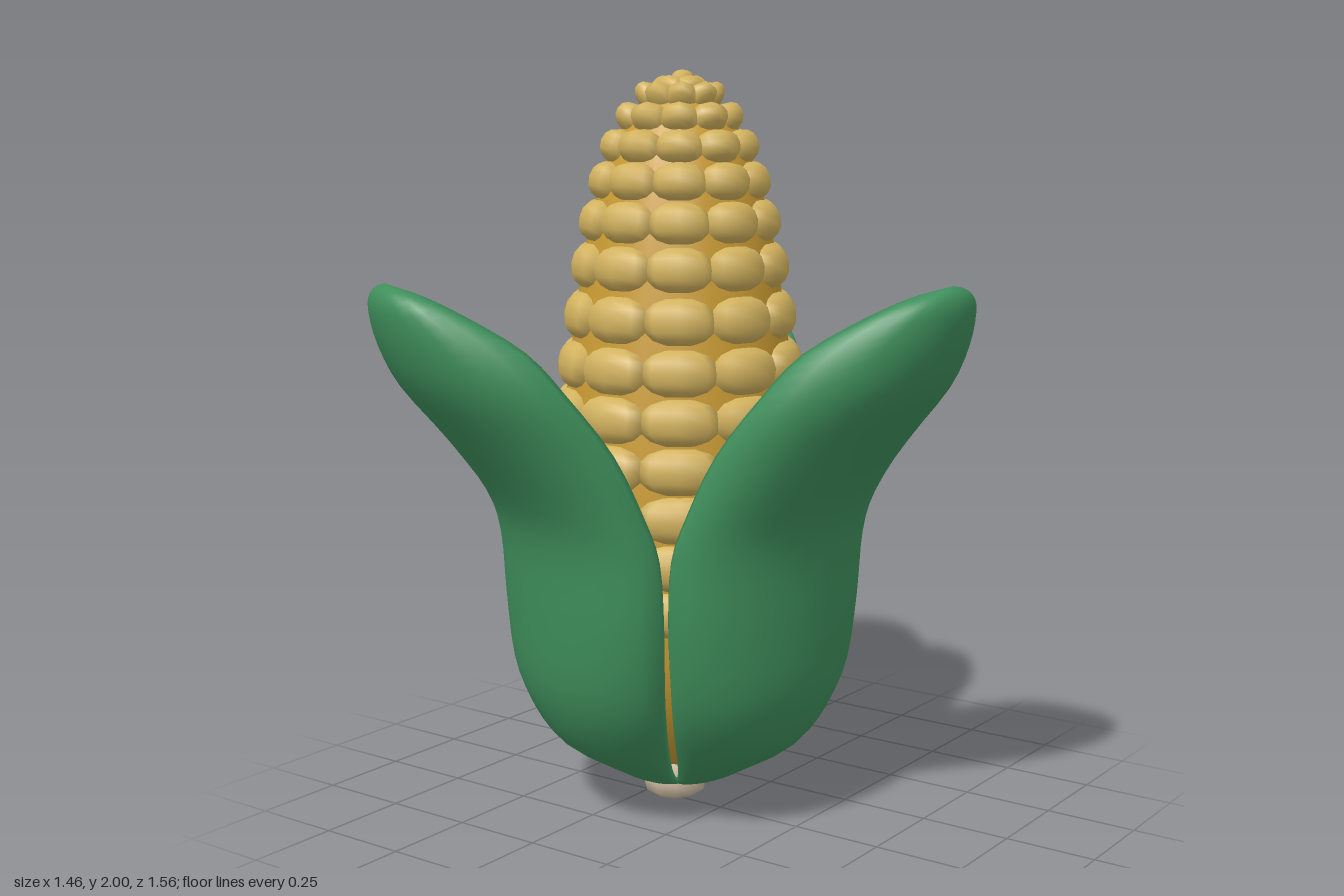
import * as THREE from 'three';
import { mergeGeometries } from 'three/addons/utils/BufferGeometryUtils.js';

const CX = -0.145, CZ = -0.018;

const mat = (name, color, side = THREE.FrontSide) => {
  const m = new THREE.MeshStandardMaterial({ color, side });
  m.name = name;
  return m;
};

// Kernel: a slightly squared ellipsoid, depth along +x
function kernelGeometry() {
  const g = new THREE.SphereGeometry(1, 8, 8);
  const p = g.attributes.position;
  const sq = (v) => Math.sign(v) * Math.pow(Math.abs(v), 0.84);
  for (let i = 0; i < p.count; i++) p.setXYZ(i, p.getX(i), sq(p.getY(i)), sq(p.getZ(i)));
  g.computeVertexNormals();
  return g;
}

// Rings of kernels: [height, outer radius, count, half height]
const KERNEL_ROWS = [
  [0.605, 0.368, 10, 0.063], [0.73, 0.37, 10, 0.063],
  [0.855, 0.368, 10, 0.063], [0.98, 0.36, 10, 0.063], [1.105, 0.349, 10, 0.063], [1.23, 0.335, 10, 0.063],
  [1.36, 0.317, 10, 0.063], [1.49, 0.297, 10, 0.06], [1.607, 0.275, 10, 0.056], [1.71, 0.248, 10, 0.051],
  [1.798, 0.217, 10, 0.045], [1.87, 0.177, 10, 0.038], [1.924, 0.128, 9, 0.03], [1.955, 0.074, 5, 0.029],
];

function buildKernels() {
  const base = kernelGeometry(), parts = [];
  const o = new THREE.Object3D();
  o.rotation.order = 'YXZ';
  const add = () => { o.updateMatrix(); parts.push(base.clone().applyMatrix4(o.matrix)); };
  KERNEL_ROWS.forEach(([y, r, n, h], k) => {
    const lo = KERNEL_ROWS[Math.max(k - 1, 0)], hi = KERNEL_ROWS[Math.min(k + 1, KERNEL_ROWS.length - 1)];
    const tilt = Math.max(0, Math.atan2(lo[1] - hi[1], hi[0] - lo[0]));
    const depth = Math.min(0.055, r * 0.4);
    for (let i = 0; i < n; i++) {
      const a = Math.PI / 2 + (i / n) * Math.PI * 2;
      const c = r - depth * 0.95;
      o.position.set(Math.cos(a) * c, y, Math.sin(a) * c);
      o.rotation.set(0, -a, tilt);
      o.scale.set(depth, h, (Math.PI * r / n) * 0.95);
      add();
    }
  });
  // Tip kernel
  o.position.set(0.01, 1.97, 0);
  o.rotation.set(0, 0, 0);
  o.scale.set(0.032, 0.03, 0.032);
  add();
  return mergeGeometries(parts);
}

// Husk sections: [height, edge radius, middle radius, half width]
const HUSK_ROWS = [
  [0.065, 0.01, 0.08, 0.07], [0.085, 0.055, 0.15, 0.125], [0.125, 0.095, 0.225, 0.175], [0.2, 0.135, 0.345, 0.235],
  [0.3, 0.175, 0.415, 0.302], [0.42, 0.203, 0.455, 0.35], [0.6, 0.22, 0.47, 0.383], [0.77, 0.235, 0.482, 0.39],
  [0.89, 0.275, 0.525, 0.38], [1.05, 0.35, 0.645, 0.358], [1.2, 0.46, 0.775, 0.325], [1.31, 0.55, 0.835, 0.275],
  [1.4, 0.68, 0.86, 0.195], [1.445, 0.76, 0.855, 0.125], [1.465, 0.81, 0.838, 0.05],
];

// Cupped shell: closed ring of outer face, rounded rim, inner face and rim.
// breadth widens the lower half, lean shifts the tip sideways
function huskGeometry(breadth, lean) {
  const curveA = new THREE.CatmullRomCurve3(HUSK_ROWS.map(([y, e, c]) => new THREE.Vector3(y, e, c)), false, 'catmullrom');
  const curveB = new THREE.CatmullRomCurve3(HUSK_ROWS.map(([y, , , w]) => new THREE.Vector3(y, w, 0)), false, 'catmullrom');
  const rows = 42, arc = 14, pos = [], idx = [];
  let ring = 0;
  for (let k = 0; k <= rows; k++) {
    const { x: y, y: e0, z: c } = curveA.getPoint(k / rows);
    const upper = THREE.MathUtils.smoothstep(y, 0.7, 1.4), shift = lean * upper;
    const w = curveB.getPoint(k / rows).y * THREE.MathUtils.lerp(breadth, 1, upper);
    const th = Math.min(0.09, (c - e0) * 0.55), rim = Math.min(0.06, w * 0.35);
    const e = e0 + rim * 0.4;
    const pts = [];
    for (let j = 0; j <= arc; j++) {
      const u = (j / arc - 0.5) * Math.PI;
      pts.push([e + (c - e) * Math.cos(u), w * Math.sin(u)]);
    }
    pts.push([e0, w - rim / 2]);
    for (let j = arc; j >= 0; j--) {
      const u = (j / arc - 0.5) * Math.PI;
      pts.push([e + (c - th - e) * Math.cos(u), (w - rim) * Math.sin(u)]);
    }
    pts.push([e0, -w + rim / 2]);
    ring = pts.length;
    pts.forEach(([r, z]) => pos.push(r, y, z + shift));
  }
  for (let k = 0; k < rows; k++) {
    for (let j = 0; j < ring; j++) {
      const a = k * ring + j, b = k * ring + (j + 1) % ring;
      idx.push(a, a + ring, b, b, a + ring, b + ring);
    }
  }
  // End caps
  [[0, 0.05, 0.06, 0], [rows, 0.825, 1.472, lean]].forEach(([k, r, y, z], end) => {
    const c = pos.length / 3;
    pos.push(r, y, z);
    for (let j = 0; j < ring; j++) {
      const a = k * ring + j, b = k * ring + (j + 1) % ring;
      if (end) idx.push(a, c, b); else idx.push(a, b, c);
    }
  });
  const g = new THREE.BufferGeometry();
  g.setAttribute('position', new THREE.Float32BufferAttribute(pos, 3));
  g.setIndex(idx);
  g.computeVertexNormals();
  return g;
}

const lathe = (pts, n) => new THREE.LatheGeometry(pts.map(([r, y]) => new THREE.Vector2(r, y)), n);

export function createModel() {
  const kernelYellow = mat('kernelYellow', 0xd2b25e);
  const coreGold = mat('coreGold', 0xcb9c34);
  const huskGreen = mat('huskGreen', 0x3f8f5c, THREE.DoubleSide);
  const stemBeige = mat('stemBeige', 0xcdbba2);

  const model = new THREE.Group();
  model.name = 'cornCob';
  const add = (name, geometry, material) => {
    const m = new THREE.Mesh(geometry, material);
    m.name = name;
    m.position.set(CX, 0, CZ);
    model.add(m);
    return m;
  };

  // Cob: core and kernels
  const coreProfile = [[0, 0.1], [0.12, 0.13], [0.22, 0.22], [0.295, 0.36], [0.322, 0.48]]
    .concat(KERNEL_ROWS.map(([y, r]) => [Math.max(r - 0.036, 0.03), y]), [[0, 1.97]]);
  add('cobCore', lathe(coreProfile, 20), coreGold);
  add('kernels', buildKernels(), kernelYellow);

  // Three husk leaves around the cob: [name, direction, breadth, lean]
  [['huskLeft', 0, 1, 0], ['huskFrontRight', 118, 1.02, -0.035], ['huskBackRight', -119.5, 1.07, -0.045]]
    .forEach(([name, deg, breadth, lean]) => {
      add(name, huskGeometry(breadth, lean), huskGreen).rotation.y = -THREE.MathUtils.degToRad(deg);
    });

  // Stem
  const stem = add('stem', lathe([[0, 0], [0.06, 0.005], [0.083, 0.02], [0.09, 0.05], [0.088, 0.09], [0.07, 0.13], [0, 0.16]], 10), stemBeige);
  stem.position.x = -0.168;

  return model;
}
